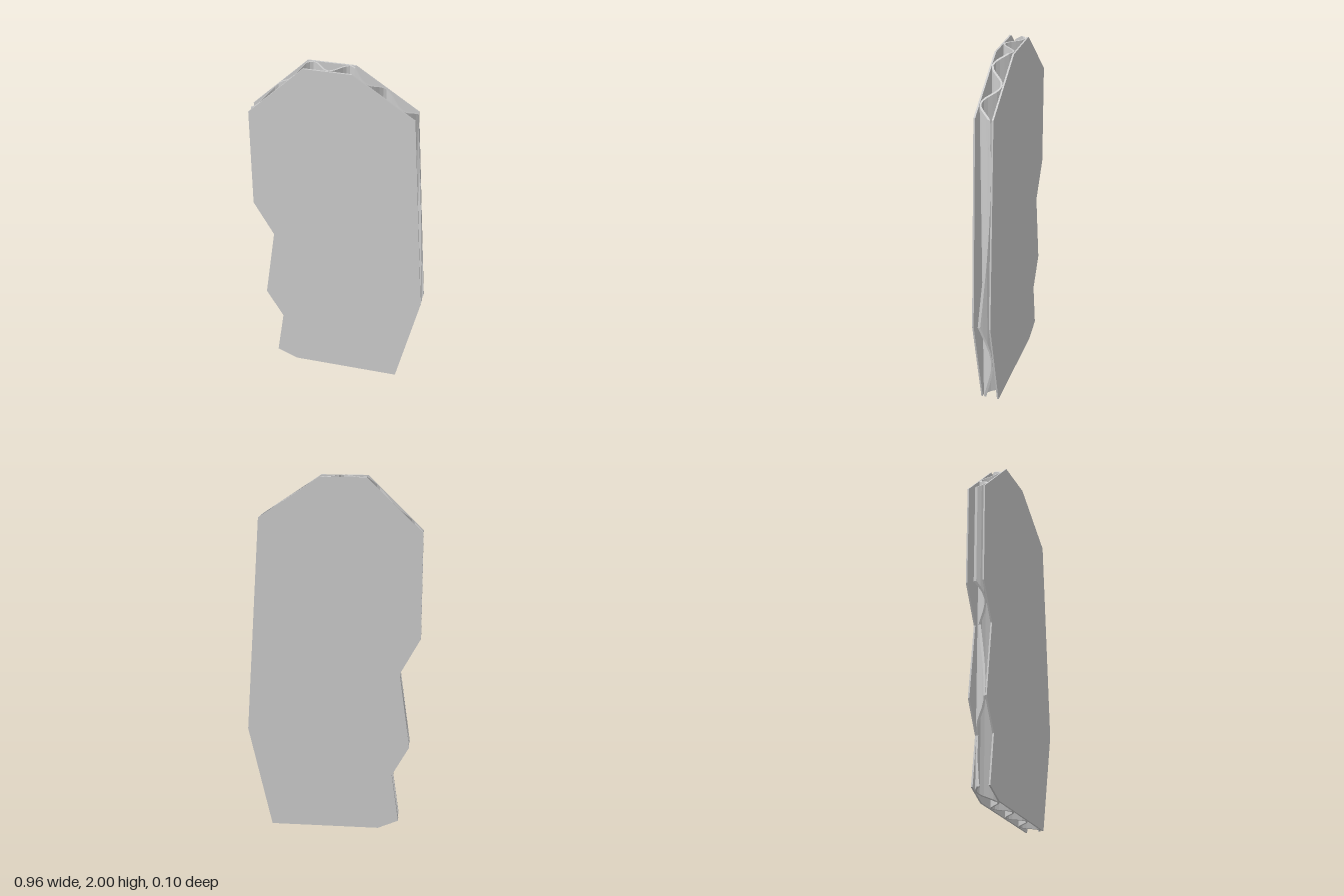
import * as THREE from 'three';

// torn silhouette shared by all three layers, clockwise from the top left
const OUTLINE = [
  [-0.18, 2], [0.07, 2], [0.4, 1.78], [0.48, 0.58], [0.35, 0], [-0.26, 0],
  [-0.375, 0.05], [-0.335, 0.33], [-0.43, 0.5], [-0.37, 0.93], [-0.48, 1.13], [-0.48, 1.71],
];
const HALF_DEPTH = 0.052, LINER = 0.009;
const PERIOD = 0.19, CREST_X = 0.042, PAPER = 0.009, STEPS = 12;
const AMPLITUDE = HALF_DEPTH - LINER - PAPER / 2;

// front and back z of the wavy paper at a given x
function wave(x) {
  const k = (2 * Math.PI) / PERIOD, a = k * (x - CREST_X);
  const mid = -AMPLITUDE * Math.cos(a);
  const half = (PAPER / 2) * Math.hypot(1, AMPLITUDE * k * Math.sin(a));
  return [mid + half, mid - half];
}

// outline edges spanning a vertical slab, as [y at x0, y at x1], lowest first
function crossings(x0, x1) {
  const found = [];
  OUTLINE.forEach(([ax, ay], i) => {
    const [bx, by] = OUTLINE[(i + 1) % OUTLINE.length];
    if (Math.min(ax, bx) > x0 + 1e-6 || Math.max(ax, bx) < x1 - 1e-6) return;
    const y = (x) => ay + ((by - ay) * (x - ax)) / (bx - ax);
    found.push([y(x0), y(x1)]);
  });
  return found.sort((p, q) => p[0] + p[1] - q[0] - q[1]);
}

// corrugated sheet: wave steps cut exactly to the outline
function flutingGeometry() {
  const xs = OUTLINE.map((p) => p[0]);
  const step = PERIOD / STEPS;
  for (let i = -40; i <= 40; i++) {
    const x = CREST_X + i * step;
    if (Math.abs(x) < 0.48) xs.push(x);
  }
  xs.sort((a, b) => a - b);
  const cuts = xs.filter((x, i) => i === 0 || x - xs[i - 1] > 1e-5);

  const pos = [];
  const quad = (a, b, c, d) => pos.push(...a, ...b, ...c, ...a, ...c, ...d);
  for (let i = 0; i < cuts.length - 1; i++) {
    const x0 = cuts[i], x1 = cuts[i + 1];
    const [f0, k0] = wave(x0), [f1, k1] = wave(x1);
    const ys = crossings(x0, x1);
    for (let j = 0; j + 1 < ys.length; j += 2) {
      const [b0, b1] = ys[j], [t0, t1] = ys[j + 1];
      const fb0 = [x0, b0, f0], fb1 = [x1, b1, f1], ft0 = [x0, t0, f0], ft1 = [x1, t1, f1];
      const kb0 = [x0, b0, k0], kb1 = [x1, b1, k1], kt0 = [x0, t0, k0], kt1 = [x1, t1, k1];
      quad(fb0, fb1, ft1, ft0); // front
      quad(kb1, kb0, kt0, kt1); // back
      quad(ft0, ft1, kt1, kt0); // upper cut
      quad(kb0, kb1, fb1, fb0); // lower cut
      if (i === 0) quad(kb0, fb0, ft0, kt0); // straight side cut
    }
  }
  const geometry = new THREE.BufferGeometry();
  geometry.setAttribute('position', new THREE.Float32BufferAttribute(pos, 3));
  geometry.computeVertexNormals();
  return geometry;
}

export function createModel() {
  const group = new THREE.Group();
  group.name = 'corrugatedBoard';
  const material = new THREE.MeshStandardMaterial({ color: 0xcccccc, flatShading: true });

  const add = (name, geometry, z = 0) => {
    const mesh = new THREE.Mesh(geometry, material);
    mesh.name = name;
    mesh.position.z = z;
    group.add(mesh);
  };

  // flat outer sheets
  const shape = new THREE.Shape(OUTLINE.map(([x, y]) => new THREE.Vector2(x, y)));
  const liner = new THREE.ExtrudeGeometry(shape, { depth: LINER, bevelEnabled: false });
  add('frontLiner', liner, HALF_DEPTH - LINER);
  add('backLiner', liner, -HALF_DEPTH);

  // wavy middle sheet
  add('fluting', flutingGeometry());
  return group;
}
